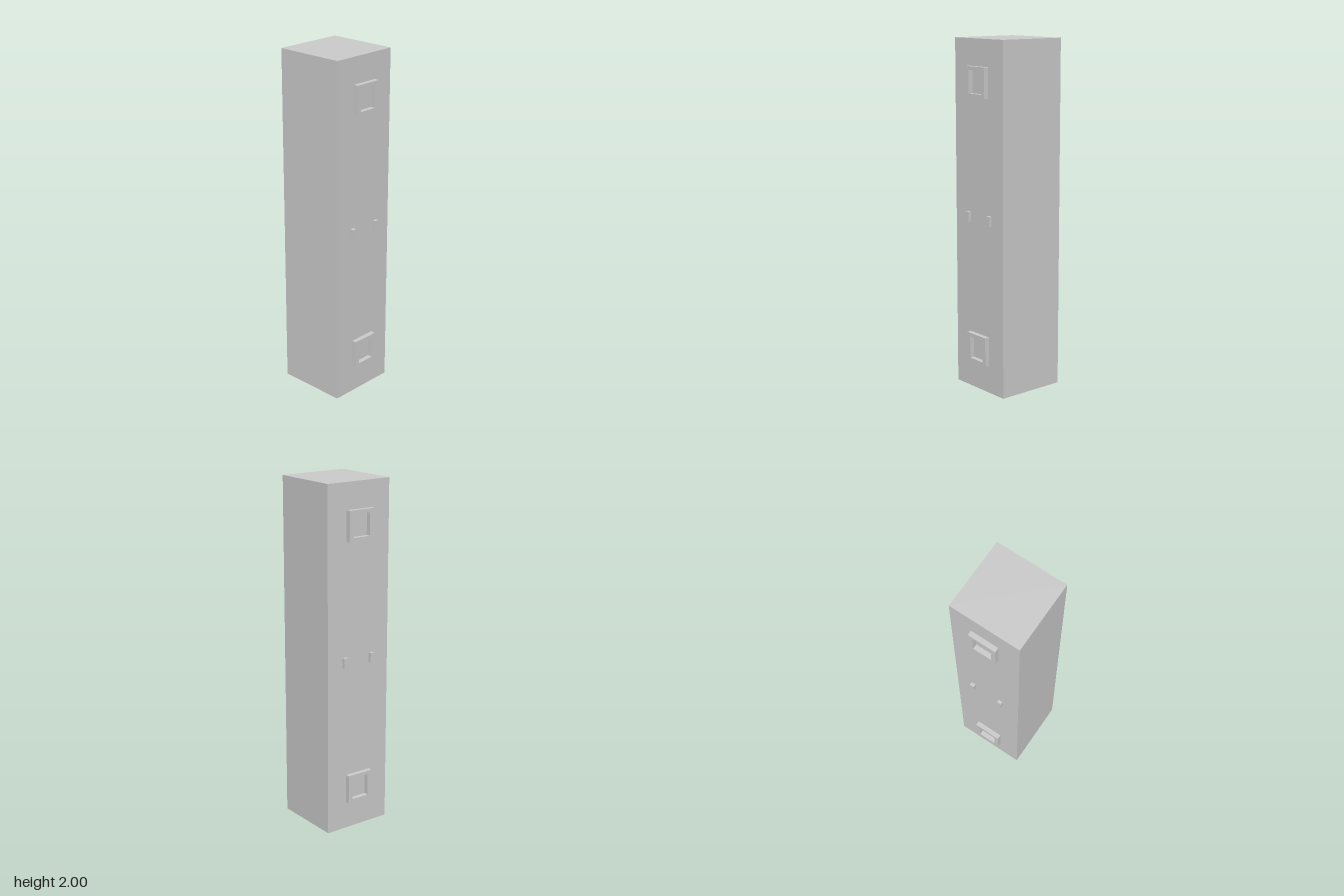
import * as THREE from 'three';

const material = new THREE.MeshStandardMaterial({ color: 0xcccccc, flatShading: true });
const HALF = 0.2075;

function rectangle(Target, w, h) {
  const p = new Target();
  p.moveTo(-w / 2, -h / 2);
  p.lineTo(w / 2, -h / 2);
  p.lineTo(w / 2, h / 2);
  p.lineTo(-w / 2, h / 2);
  p.closePath();
  return p;
}

// Square frame with an open centre, its back on z = 0
function frameGeometry() {
  const shape = rectangle(THREE.Shape, 0.164, 0.17);
  shape.holes.push(rectangle(THREE.Path, 0.11, 0.128));
  return new THREE.ExtrudeGeometry(shape, { depth: 0.028, bevelEnabled: false });
}

export function createModel() {
  const model = new THREE.Group();
  model.name = 'pillar';

  const add = (name, geometry, x, y, z, parent = model) => {
    const mesh = new THREE.Mesh(geometry, material);
    mesh.name = name;
    mesh.position.set(x, y, z);
    parent.add(mesh);
  };

  // Tall square column
  add('column', new THREE.BoxGeometry(HALF * 2, 2, HALF * 2), 0, 1, 0);

  // Raised fittings, the same on the front and the back
  const frame = frameGeometry();
  const peg = new THREE.BoxGeometry(0.026, 0.058, 0.019);
  for (const side of [1, -1]) {
    const face = new THREE.Group();
    face.name = side > 0 ? 'frontFittings' : 'backFittings';
    model.add(face);

    add('upperFrame', frame, 0, 1.765, side > 0 ? HALF : -HALF - 0.028, face);
    add('lowerFrame', frame, 0, 0.245, side > 0 ? HALF : -HALF - 0.028, face);
    add('rightPeg', peg, -0.089, 1.004, side * (HALF + 0.0095), face);
    add('leftPeg', peg, 0.095, 1.004, side * (HALF + 0.0095), face);
  }

  return model;
}
